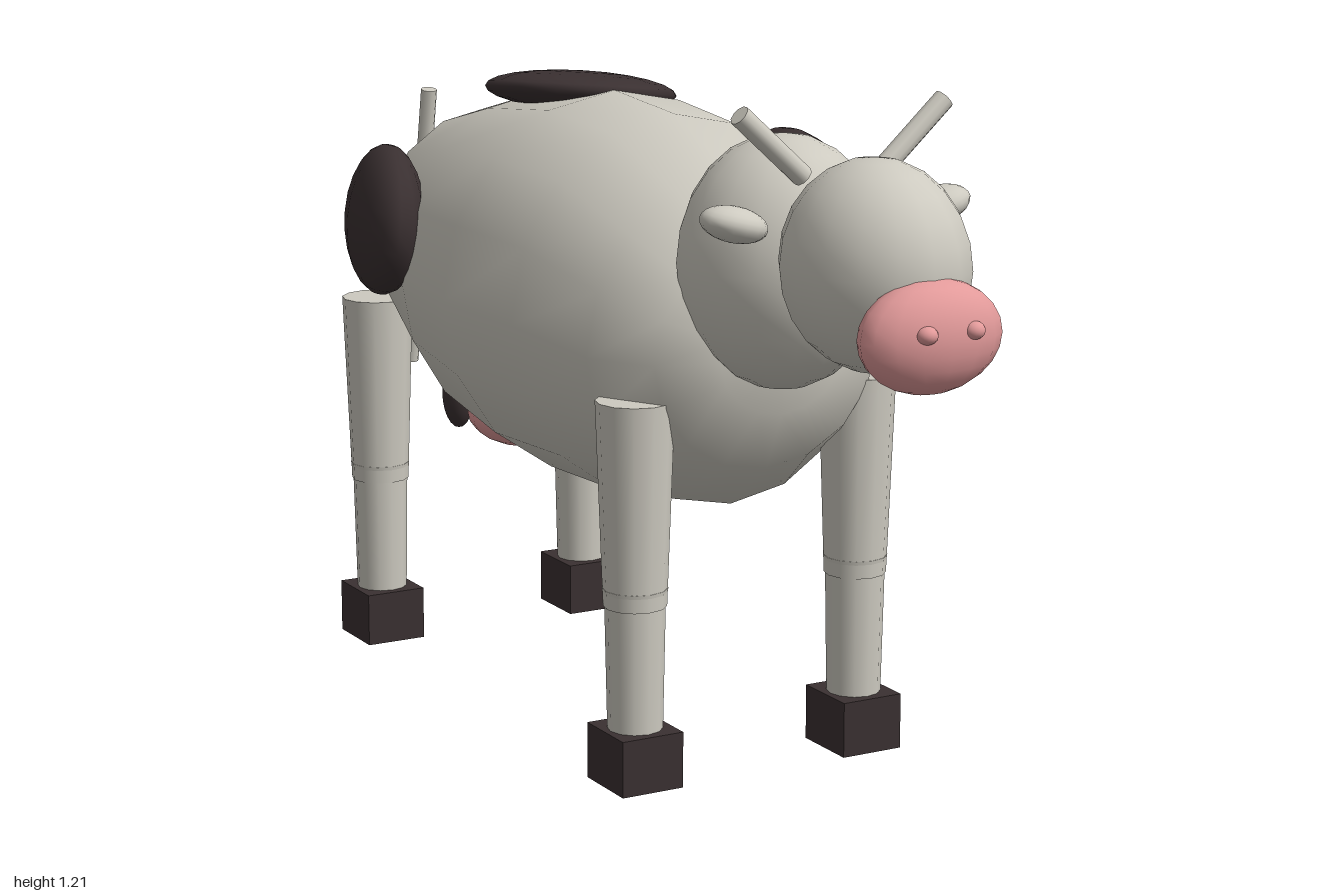
import * as THREE from 'three';

const mat = (name, color) => {
  const m = new THREE.MeshStandardMaterial({ color });
  m.name = name;
  return m;
};

// Closed skin through elliptical cross-sections [z, centreY, radiusX, radiusY]
function loft(sections, sides) {
  const positions = [], index = [];
  sections.forEach(([z, cy, rx, ry], s) => {
    for (let i = 0; i < sides; i++) {
      const a = (i / sides) * Math.PI * 2;
      positions.push(Math.cos(a) * rx, cy + Math.sin(a) * ry, z);
      if (s < sections.length - 1) {
        const p = s * sides + i, q = s * sides + (i + 1) % sides;
        index.push(p, q, p + sides, q, q + sides, p + sides);
      }
    }
  });
  const geo = new THREE.BufferGeometry();
  geo.setAttribute('position', new THREE.Float32BufferAttribute(positions, 3));
  geo.setIndex(index);
  geo.computeVertexNormals();
  return geo;
}

export function createModel() {
  const cow = new THREE.Group();
  cow.name = 'cow';
  const hide = mat('hide', 0xcdcac0);
  const dark = mat('darkBrown', 0x3a3031);
  const pink = mat('pink', 0xe29a9a);

  const add = (name, geo, material, pos = [0, 0, 0], rot = [0, 0, 0]) => {
    const mesh = new THREE.Mesh(geo, material);
    mesh.name = name;
    mesh.position.set(...pos);
    mesh.rotation.set(...rot);
    cow.add(mesh);
    return mesh;
  };
  const ball = (name, material, pos, radii, rot) =>
    add(name, new THREE.SphereGeometry(1, 16, 12), material, pos, rot).scale.set(...radii);
  // Round bar between two points
  const bar = (name, from, to, r) => {
    const a = new THREE.Vector3(...from), b = new THREE.Vector3(...to);
    const mesh = add(name, new THREE.CylinderGeometry(r, r, a.distanceTo(b), 10), hide);
    mesh.position.copy(a).add(b).multiplyScalar(0.5);
    mesh.quaternion.setFromUnitVectors(new THREE.Vector3(0, 1, 0), b.sub(a).normalize());
  };

  // Barrel body, rump to chest
  add('body', loft([
    [-0.86, 0.8, 0, 0],
    [-0.86, 0.8, 0.11, 0.03],
    [-0.8, 0.795, 0.15, 0.135],
    [-0.65, 0.785, 0.23, 0.245],
    [-0.4, 0.77, 0.3, 0.325],
    [-0.12, 0.775, 0.35, 0.355],
    [0.1, 0.77, 0.325, 0.345],
    [0.3, 0.745, 0.285, 0.29],
    [0.42, 0.745, 0.22, 0.2],
    [0.47, 0.75, 0.12, 0.1],
    [0.48, 0.75, 0, 0],
  ], 16), hide, [-0.005, 0, 0]);

  // Neck and head
  ball('neck', hide, [-0.01, 0.915, 0.475], [0.178, 0.217, 0.185]);
  ball('head', hide, [-0.01, 0.955, 0.76], [0.15, 0.175, 0.175]);
  ball('muzzle', pink, [-0.01, 0.868, 0.922], [0.13, 0.093, 0.068]);
  for (const side of [-1, 1]) {
    const cx = -0.01;
    ball('nostril', pink, [cx + side * 0.044, 0.884, 0.98], [0.018, 0.015, 0.018]);
    ball('ear', hide, [cx + side * 0.195, 1.02, 0.645], [0.06, 0.03, 0.046], [0, 0, side * 0.25]);
    bar('horn', [cx + side * 0.075, 1.09, 0.66], [cx + side * 0.195, 1.198, 0.66], 0.018);
  }
  ball('eyePatch', dark, [0.091, 1.045, 0.69], [0.034, 0.036, 0.068], [0, -0.25, 0]);

  // Coat patches
  ball('backPatch', dark, [0.03, 1.103, -0.315], [0.175, 0.038, 0.197], [-0.1, 0, -0.12]);
  ball('leftPatch', dark, [0.285, 0.907, 0.035], [0.084, 0.155, 0.187], [0, 0, 0.12]);
  ball('rightPatch', dark, [-0.29, 0.86, -0.5], [0.07, 0.14, 0.185], [0, -0.28, -0.1]);

  // Legs with square hooves; the lower leg just shows under the hoof
  for (const x of [-0.23, 0.214]) {
    for (const z of [0.362, -0.668]) {
      add('upperLeg', new THREE.CylinderGeometry(0.068, 0.055, 0.36, 12), hide, [x, 0.498, z]);
      add('knee', new THREE.CylinderGeometry(0.057, 0.049, 0.05, 12), hide, [x, 0.325, z]);
      add('lowerLeg', new THREE.CylinderGeometry(0.053, 0.048, 0.25, 12), hide, [x, 0.215, z]);
      add('hoof', new THREE.BoxGeometry(0.118, 0.1, 0.128), dark, [x, 0.05, z]);
      add('sole', new THREE.CylinderGeometry(0.04, 0.04, 0.004, 12), hide, [x, 0.001, z]);
    }
  }

  // Udder, tail and tail tuft
  ball('udder', pink, [-0.005, 0.467, -0.468], [0.12, 0.067, 0.11]);
  bar('tail', [-0.012, 1.04, -0.88], [-0.012, 0.47, -0.984], 0.016);
  ball('tailTuft', dark, [-0.006, 0.443, -0.775], [0.032, 0.073, 0.035]);

  return cow;
}
